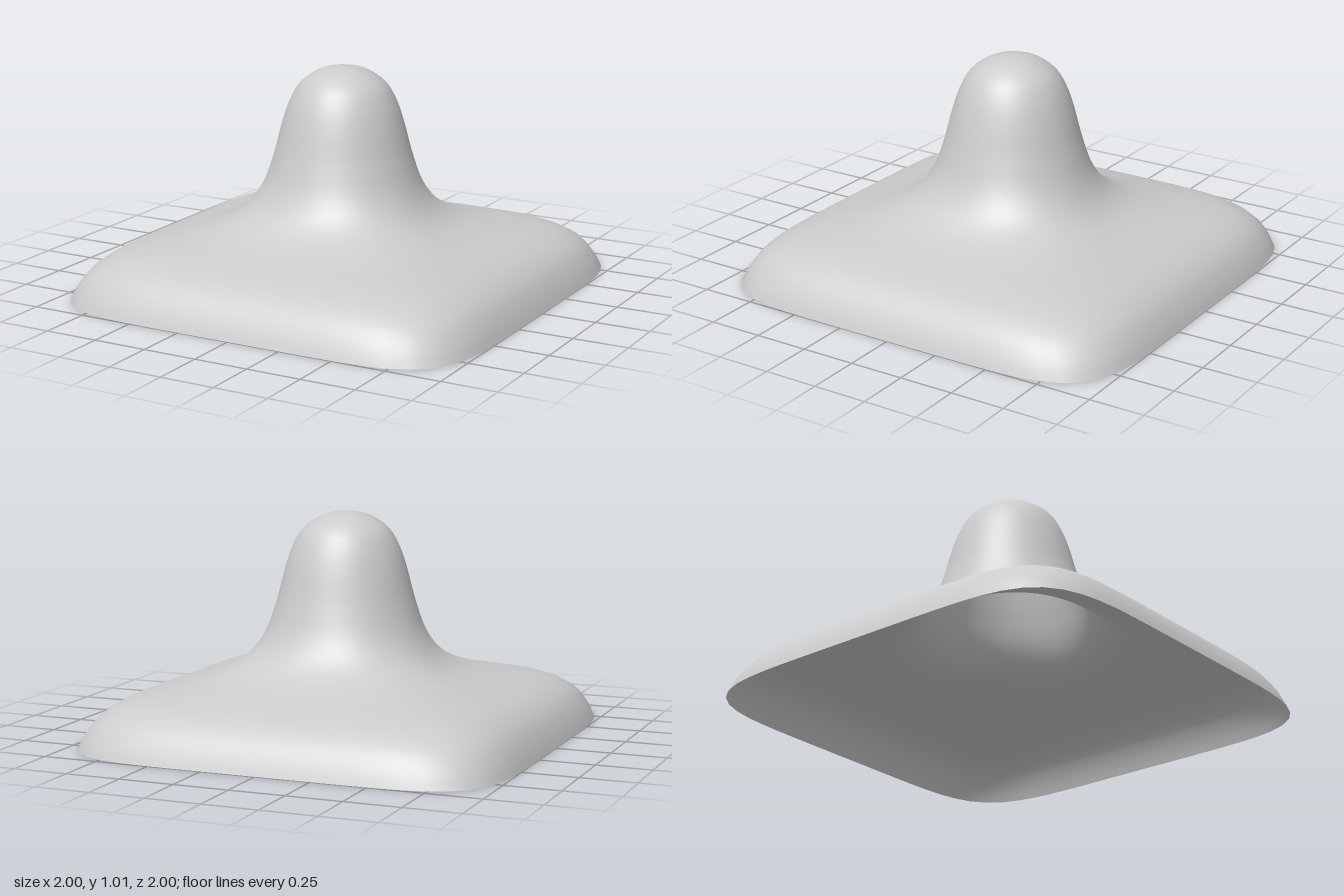
import * as THREE from 'three';
import { mergeVertices } from 'three/addons/utils/BufferGeometryUtils.js';

const material = new THREE.MeshStandardMaterial({ color: 0xcccccc, side: THREE.DoubleSide });

// Profile from the rim to the crown: [radius, height]
const profile = [
  [1, 0], [0.975, 0.06], [0.93, 0.13], [0.87, 0.18], [0.8, 0.213], [0.7, 0.242],
  [0.6, 0.27], [0.5, 0.312], [0.42, 0.377], [0.36, 0.475], [0.315, 0.61],
  [0.275, 0.76], [0.24, 0.86], [0.19, 0.94], [0.1, 0.998], [0, 1.015],
];

export function createModel() {
  const group = new THREE.Group();
  group.name = 'domedSheet';

  const curve = new THREE.SplineCurve(profile.map(([r, y]) => new THREE.Vector2(r, y)));
  const points = curve.getSpacedPoints(56);
  points[56].set(0, 1.015);
  let geometry = new THREE.LatheGeometry(points, 96);

  // Round rings in the middle blend into a rounded square at the rim
  const pos = geometry.attributes.position;
  for (let i = 0; i < pos.count; i++) {
    const x = pos.getX(i), z = pos.getZ(i), r = Math.hypot(x, z);
    if (r < 1e-6) continue;
    const n = 2 + 4 * THREE.MathUtils.smoothstep(r, 0.3, 1);
    const k = Math.pow(Math.abs(x / r) ** n + Math.abs(z / r) ** n, -1 / n);
    pos.setX(i, x * k);
    pos.setZ(i, z * k);
  }

  // Weld the seam so the shading is smooth all round
  geometry.deleteAttribute('normal');
  geometry.deleteAttribute('uv');
  geometry = mergeVertices(geometry, 1e-5);
  geometry.computeVertexNormals();

  const sheet = new THREE.Mesh(geometry, material);
  sheet.name = 'hollowDomedSheet';
  group.add(sheet);
  return group;
}
